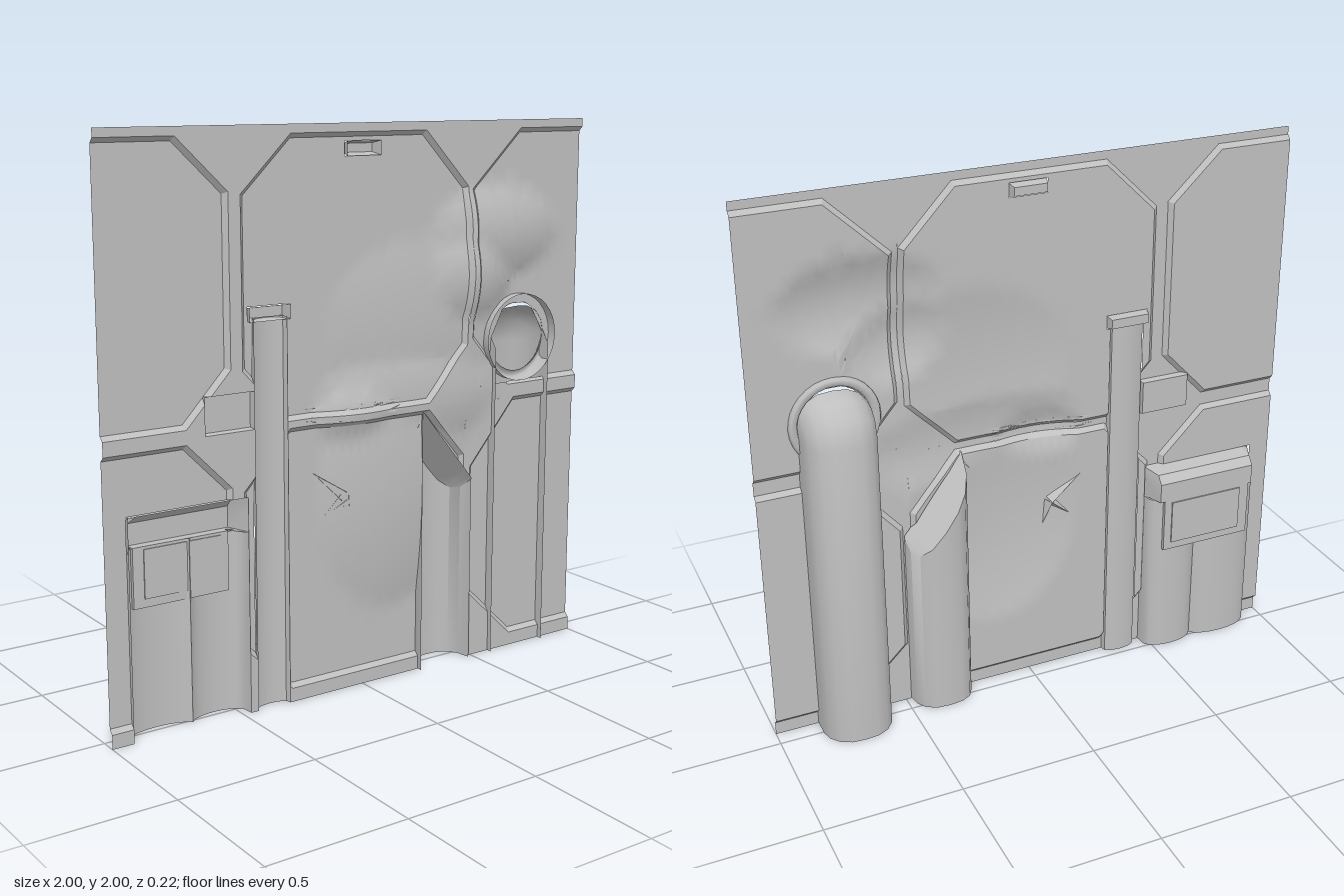
import * as THREE from 'three';
import { toCreasedNormals } from 'three/addons/utils/BufferGeometryUtils.js';

const FRAME_Z = 0.06, PANEL_Z = 0.044;

// triangles: list of [a, b, c] points -> creased geometry
function toGeometry(tris, crease = 0.5) {
  const g = new THREE.BufferGeometry();
  g.setAttribute('position', new THREE.Float32BufferAttribute(tris.flat(2), 3));
  return toCreasedNormals(g, crease);
}
const fan = (p) => p.slice(2).map((_, i) => [p[0], p[i + 1], p[i + 2]]);
const rect = (x0, x1, y0, y1) => [[x0, y0], [x1, y0], [x1, y1], [x0, y1]];
const lerp = (a, b, t) => a.map((v, i) => v + (b[i] - v) * t);

// keep the part of a polygon on one side of the line a-b
function clip(poly, a, b, sign) {
  const side = (p) => sign * ((b[0] - a[0]) * (p[1] - a[1]) - (b[1] - a[1]) * (p[0] - a[0]));
  const out = [];
  poly.forEach((p, i) => {
    const q = poly[(i + 1) % poly.length], s = side(p), t = side(q);
    if (s >= 0) out.push(p);
    if (s * t < 0) out.push(lerp(p, q, s / (s - t)));
  });
  return out;
}

// remove a convex opening from triangles
function cut(tris, hole) {
  const kept = [];
  for (const tri of tris) {
    let rest = tri;
    for (let i = 0; i < hole.length && rest.length > 2; i++) {
      const a = hole[i], b = hole[(i + 1) % hole.length];
      const outside = clip(rest, a, b, -1);
      if (outside.length > 2) kept.push(...fan(outside));
      rest = clip(rest, a, b, 1);
    }
  }
  return kept;
}

// halve the longest edge until every triangle is small
function refine(tri, max, out) {
  const len = [0, 1, 2].map((i) => Math.hypot(tri[i][0] - tri[(i + 1) % 3][0], tri[i][1] - tri[(i + 1) % 3][1]));
  const k = len.indexOf(Math.max(...len));
  if (len[k] < max) return out.push(tri);
  const a = tri[k], b = tri[(k + 1) % 3], c = tri[(k + 2) % 3], m = lerp(a, b, 0.5);
  refine([a, m, c], max, out);
  refine([m, b, c], max, out);
}

// shrink a convex polygon, leaving edges on the outer border in place
function inset(poly, d) {
  const lines = poly.map((p, i) => {
    const q = poly[(i + 1) % poly.length], l = Math.hypot(q[0] - p[0], q[1] - p[1]);
    const n = [-(q[1] - p[1]) / l, (q[0] - p[0]) / l];
    const border = Math.abs(p[0]) === 1 && p[0] === q[0];
    return [n[0], n[1], n[0] * p[0] + n[1] * p[1] + (border ? 0 : d)];
  });
  return lines.map((l, i) => {
    const k = lines[(i + lines.length - 1) % lines.length], det = k[0] * l[1] - k[1] * l[0];
    return [(k[2] * l[1] - k[1] * l[2]) / det, (k[0] * l[2] - k[2] * l[0]) / det];
  });
}

// battered areas pushed forward: x, y, radius x, radius y, height
const dents = [
  [0, 1.01, 0.2, 0.12, 0.045], [0.13, 0.72, 0.32, 0.45, 0.04], [0.2, 1.03, 0.4, 0.2, 0.034],
  [0.48, 1.45, 0.2, 0.19, 0.052], [0.6, 1.6, 0.3, 0.17, 0.04], [0.25, 1.3, 0.4, 0.3, 0.022],
];
function dent(x, y) {
  let h = 0;
  for (const [cx, cy, rx, ry, a] of dents) {
    const t = Math.max(0, 1 - Math.hypot((x - cx) / rx, (y - cy) / ry));
    h = Math.max(h, a * t * (2 - t));
  }
  return h;
}

// surface through rows of points; rows run upward, points run left to right
function loft(rows, crease) {
  const tris = [];
  for (let j = 0; j + 1 < rows.length; j++)
    for (let i = 0; i + 1 < rows[j].length; i++) {
      const a = rows[j][i], b = rows[j][i + 1], c = rows[j + 1][i + 1], d = rows[j + 1][i];
      tris.push([a, b, c], [a, c, d]);
    }
  return toGeometry(tris, crease);
}

// shallow tray, open at the front
function tray(x0, x1, y0, y1, back, slope) {
  const o = rect(x0, x1, y0, y1).map((p) => [...p, FRAME_Z]);
  const n = rect(x0 + slope, x1 - slope, y0 + slope, y1 - slope).map((p) => [...p, back]);
  const tris = fan(n);
  o.forEach((p, i) => tris.push(...fan([p, o[(i + 1) % 4], n[(i + 1) % 4], n[i]])));
  return toGeometry(tris, 0.3);
}

export function createModel() {
  const group = new THREE.Group();
  const metal = new THREE.MeshStandardMaterial({ color: 0xbfbfbf, side: THREE.DoubleSide });
  metal.name = 'grey metal';
  const add = (name, geo) => {
    const m = new THREE.Mesh(geo, metal);
    m.name = name;
    group.add(m);
    return m;
  };

  // chamfered panels, counter-clockwise
  const panels = {
    upperRightPanel: [[-1, 1.03], [-0.7, 1.03], [-0.53, 1.21], [-0.53, 1.79], [-0.72, 1.97], [-1, 1.97]],
    upperMiddlePanel: [[-0.31, 1.01], [0.27, 1.01], [0.455, 1.2], [0.46, 1.77], [0.27, 1.97], [-0.29, 1.97], [-0.485, 1.78], [-0.485, 1.2]],
    upperLeftPanel: [[0.66, 1.03], [1, 1.03], [1, 1.97], [0.7, 1.97], [0.48, 1.76], [0.48, 1.22]],
    lowerRightPanel: [[-1, 0.05], [-0.7, 0.05], [-0.53, 0.23], [-0.53, 0.81], [-0.7, 0.98], [-1, 0.98]],
    lowerMiddlePanel: [[-0.3, 0.05], [0.27, 0.05], [0.455, 0.23], [0.455, 0.79], [0.27, 0.985], [-0.3, 0.985], [-0.485, 0.79], [-0.485, 0.23]],
    lowerLeftPanel: [[0.69, 0.05], [1, 0.05], [1, 0.98], [0.69, 0.98], [0.485, 0.74], [0.485, 0.25]],
  };

  // openings for the recessed fittings
  const openings = [
    rect(-0.92, -0.47, 0, 0.77), rect(-0.44, -0.31, 0, 1.36), rect(-0.455, -0.295, 1.36, 1.41),
    rect(-0.63, -0.44, 1, 1.13), rect(-0.065, 0.075, 1.89, 1.94),
    [[0.25, 0], [0.48, 0], [0.48, 0.7], [0.25, 0.98]],
    [[0.585, 1.04], [0.84, 1.04], [0.84, 1.21], [0.78, 1.31], [0.75, 1.33], [0.675, 1.33], [0.64, 1.31], [0.585, 1.21]],
  ];
  const sheet = (name, tris) => {
    const fine = [];
    openings.reduce(cut, tris).forEach((t) => refine(t, 0.06, fine));
    add(name, toGeometry(fine.map((t) => t.map(([x, y, z]) => [x, y, z + dent(x, y)])), 0.45));
  };
  const wall = fan(rect(-1, 1, 0, 2).map((p) => [...p, FRAME_Z]));
  sheet('wallFrame', Object.values(panels).reduce(cut, wall));
  for (const [name, outline] of Object.entries(panels)) {
    const o = outline.map((p) => [...p, FRAME_Z]), n = inset(outline, 0.016).map((p) => [...p, PANEL_Z]);
    const tris = fan(n);
    o.forEach((p, i) => {
      const k = (i + 1) % o.length;
      if (!(Math.abs(p[0]) === 1 && p[0] === o[k][0])) tris.push(...fan([p, o[k], n[k], n[i]]));
    });
    sheet(name, tris);
  }

  // large pipe with an elbow that turns into the wall
  const bigProfile = [[-0.1275, -0.035], [-0.1275, 0.05], [-0.118, 0.09], [-0.09, 0.125], [-0.05, 0.145], [0, 0.149],
    [0.05, 0.145], [0.09, 0.125], [0.118, 0.09], [0.1275, 0.05], [0.1275, -0.035]];
  const bigRow = (y, b) => bigProfile.map(([x, d]) => d < 0 ? [0.7125 + x, y, 0.045 - d]
    : [0.7125 + x, y + d * Math.sin(b), 0.045 - d * Math.cos(b)]);
  add('largePipe', loft([bigRow(0, 0), bigRow(1.165, 0), bigRow(1.17, 0.6), bigRow(1.17, 1.1), bigRow(1.17, Math.PI / 2)], 0.8));

  // collar round the elbow
  const collar = add('pipeCollar', new THREE.LatheGeometry(
    [[0.128, 0.045], [0.135, 0.03], [0.155, 0.03], [0.162, 0.045], [0.162, 0.08]].map((p) => new THREE.Vector2(...p)), 32));
  collar.geometry.rotateX(Math.PI / 2);
  collar.position.set(0.71, 1.205, 0);

  // broken pipe with a slanted top
  const midProfile = [[0.25, 0.08], [0.255, 0.02], [0.275, -0.015], [0.31, -0.034], [0.36, -0.04], [0.41, -0.036],
    [0.45, -0.015], [0.472, 0.02], [0.48, 0.075]];
  const lip = (x) => 0.98 - (x - 0.25) * 1.22;
  add('brokenPipe', loft([
    midProfile.map(([x, z]) => [x, 0, z]),
    midProfile.map(([x, z]) => [x, lip(x) - 0.11 * (0.08 - z) / 0.12, z]),
    midProfile.map(([x]) => [x, lip(x), 0.08]),
  ], 0.7));

  // thin pipe, its cap and side bracket, and the top latch
  const thinProfile = [[-0.44, 0.06], [-0.435, 0.04], [-0.41, 0.028], [-0.375, 0.024], [-0.34, 0.028], [-0.315, 0.04], [-0.31, 0.06]];
  add('thinPipe', loft([0, 1.37].map((y) => thinProfile.map(([x, z]) => [x, y, z])), 0.8));
  add('thinPipeCap', tray(-0.455, -0.295, 1.36, 1.41, 0.018, 0.008));
  add('sideBracket', tray(-0.63, -0.44, 1, 1.13, 0.035, 0.004));
  add('topLatch', tray(-0.065, 0.075, 1.89, 1.94, 0.02, 0.01));

  // cabinet: hood over two rounded columns
  const hood = [[0.645, 0], [0.65, -0.03], [0.725, -0.03], [0.755, -0.005], [0.77, 0.06]];
  add('cabinetHood', loft(hood.map(([y, z]) => [[-0.92, y, 0.06], [-0.89, y, z], [-0.5, y, z], [-0.47, y, 0.06]]), 0.4));
  const columns = [[-0.92, 0.06]];
  for (const [x0, x1] of [[-0.918, -0.675], [-0.675, -0.475]])
    for (let i = 0; i <= 8; i++) {
      const a = Math.PI * (0.1 + 0.1 * i);
      columns.push([(x0 + x1) / 2 - (x1 - x0) / 2 * Math.cos(a) / Math.cos(Math.PI * 0.1), 0.03 - 0.052 * Math.sin(a)]);
    }
  columns.push([-0.47, 0.06]);
  add('cabinetColumns', loft([0, 0.65].map((y) => columns.map(([x, z]) => [x, y, z])), 0.7));

  // display on the cabinet, with a thin plate on each face
  const display = add('cabinetDisplay', new THREE.BoxGeometry(0.36, 0.21, 0.034));
  display.position.set(-0.7, 0.545, -0.011);
  for (const z of [-0.03, 0.007]) {
    const plate = add('displayPlate', new THREE.BoxGeometry(0.29, 0.17, 0.006));
    plate.position.set(-0.695, 0.555, z);
  }

  // three-pointed tear punched through the middle panel
  const hub = [-0.085, 0.715];
  const tears = [[-0.2, 0.81], [-0.16, 0.65], [-0.06, 0.62]].flatMap(([x, y]) => {
    const dx = x - hub[0], dy = y - hub[1], l = Math.hypot(dx, dy), w = 0.018;
    const tip = [x, y, PANEL_Z + dent(x, y)], peak = [...hub, 0.035];
    const [l1, r1] = [1, -1].map((s) => [hub[0] - s * dy / l * w, hub[1] + s * dx / l * w, PANEL_Z + 0.004 + dent(...hub)]);
    return [[tip, peak, l1], [tip, r1, peak]];
  });
  add('panelTear', toGeometry(tears, 0.2));

  return group;
}
